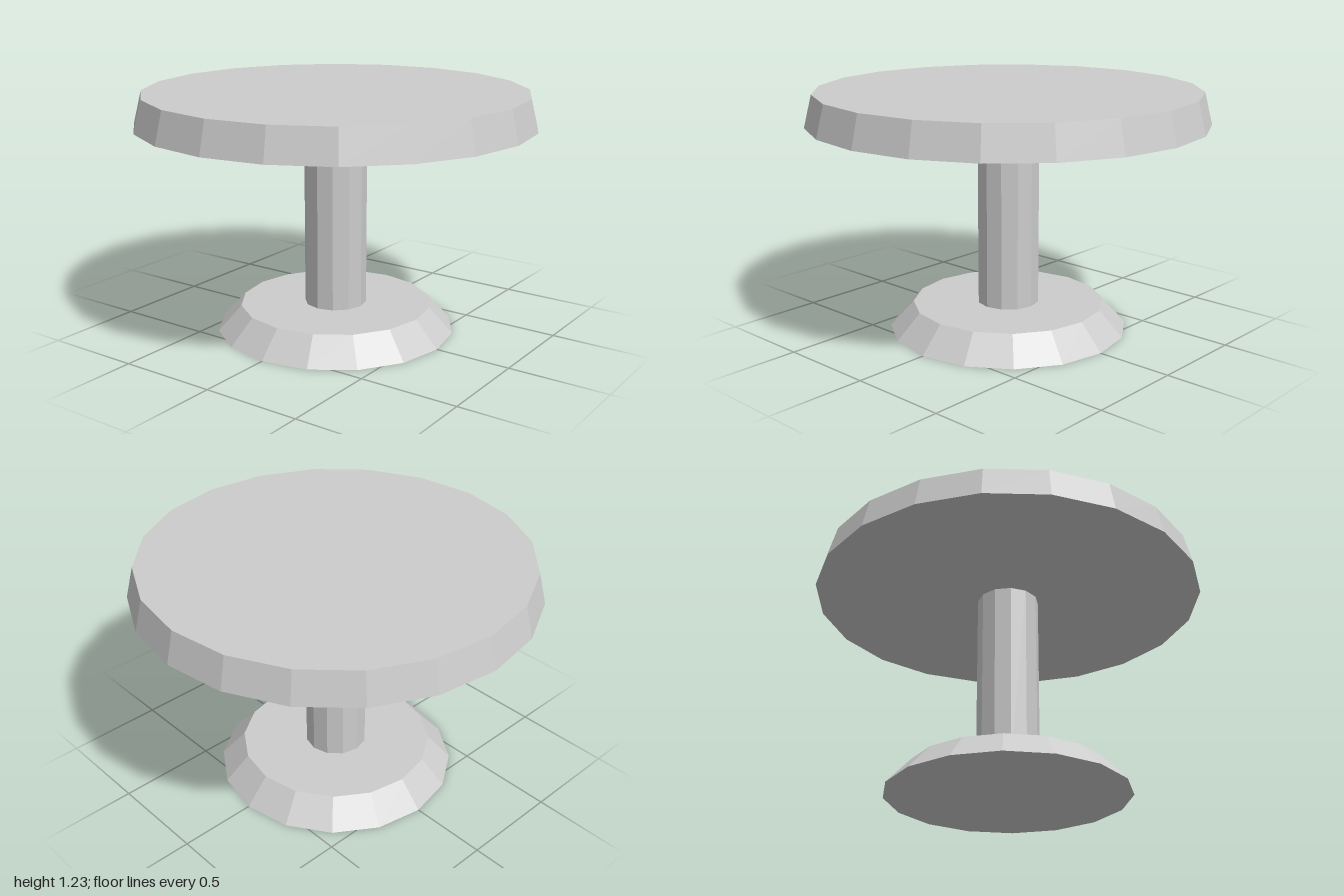
import * as THREE from 'three';

export function createModel() {
  const model = new THREE.Group();
  model.name = 'pedestalTable';

  const grey = new THREE.MeshStandardMaterial({ color: 0xcccccc });
  grey.name = 'light grey';
  grey.flatShading = true;

  // Faceted round part standing between two heights
  function addRound(name, topRadius, bottomRadius, y0, y1, sides, open = false) {
    const geometry = new THREE.CylinderGeometry(topRadius, bottomRadius, y1 - y0, sides, 1, open);
    const mesh = new THREE.Mesh(geometry, grey);
    mesh.name = name;
    mesh.position.y = (y0 + y1) / 2;
    model.add(mesh);
  }

  addRound('base', 0.49, 0.61, 0, 0.13, 16);
  addRound('column', 0.158, 0.158, 0.13, 1.07, 12, true);
  addRound('tableTop', 0.96, 1, 1.07, 1.23, 20);

  return model;
}
